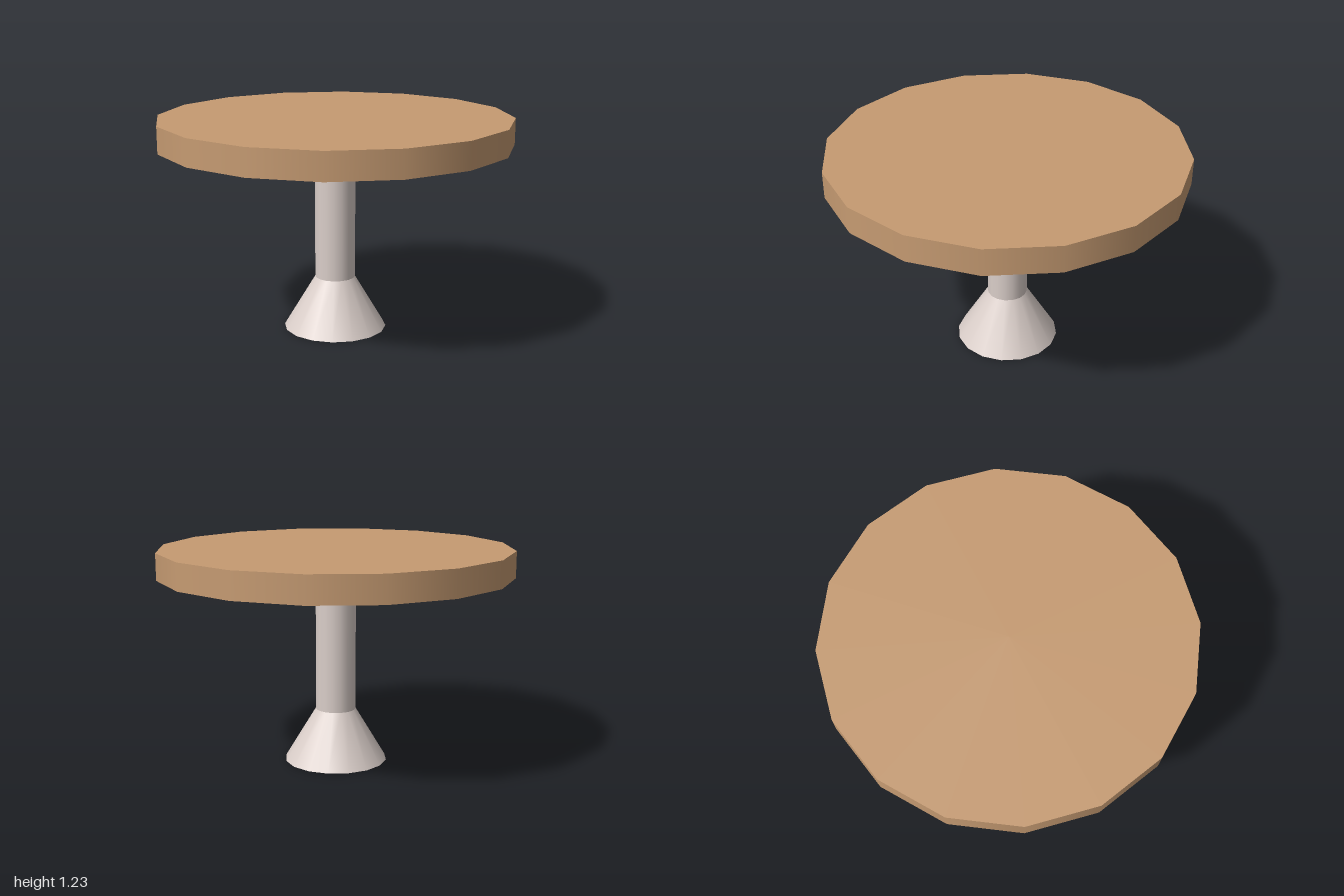
import * as THREE from 'three';

const SIDES = 16;

export function createModel() {
  const model = new THREE.Group();
  model.name = 'pedestalTable';

  const wood = new THREE.MeshStandardMaterial({ color: 0xc69b72 });
  wood.name = 'wood';
  const paleMetal = new THREE.MeshStandardMaterial({ color: 0xdacec9 });
  paleMetal.name = 'paleMetal';

  // Upright round part between two heights; materials are side, top, bottom
  function addRound(name, topRadius, bottomRadius, y0, y1, material, open = false) {
    const geometry = new THREE.CylinderGeometry(topRadius, bottomRadius, y1 - y0, SIDES, 1, open);
    const mesh = new THREE.Mesh(geometry, material);
    mesh.name = name;
    mesh.position.y = (y0 + y1) / 2;
    model.add(mesh);
  }

  // Thick round top
  addRound('tableTop', 1, 1, 1.08, 1.23, wood);
  // Column, closed off by the top and the foot
  addRound('column', 0.115, 0.115, 0.3, 1.08, paleMetal, true);
  // Flared foot with a wooden underside
  addRound('foot', 0.115, 0.295, 0, 0.3, [paleMetal, paleMetal, wood]);

  return model;
}
